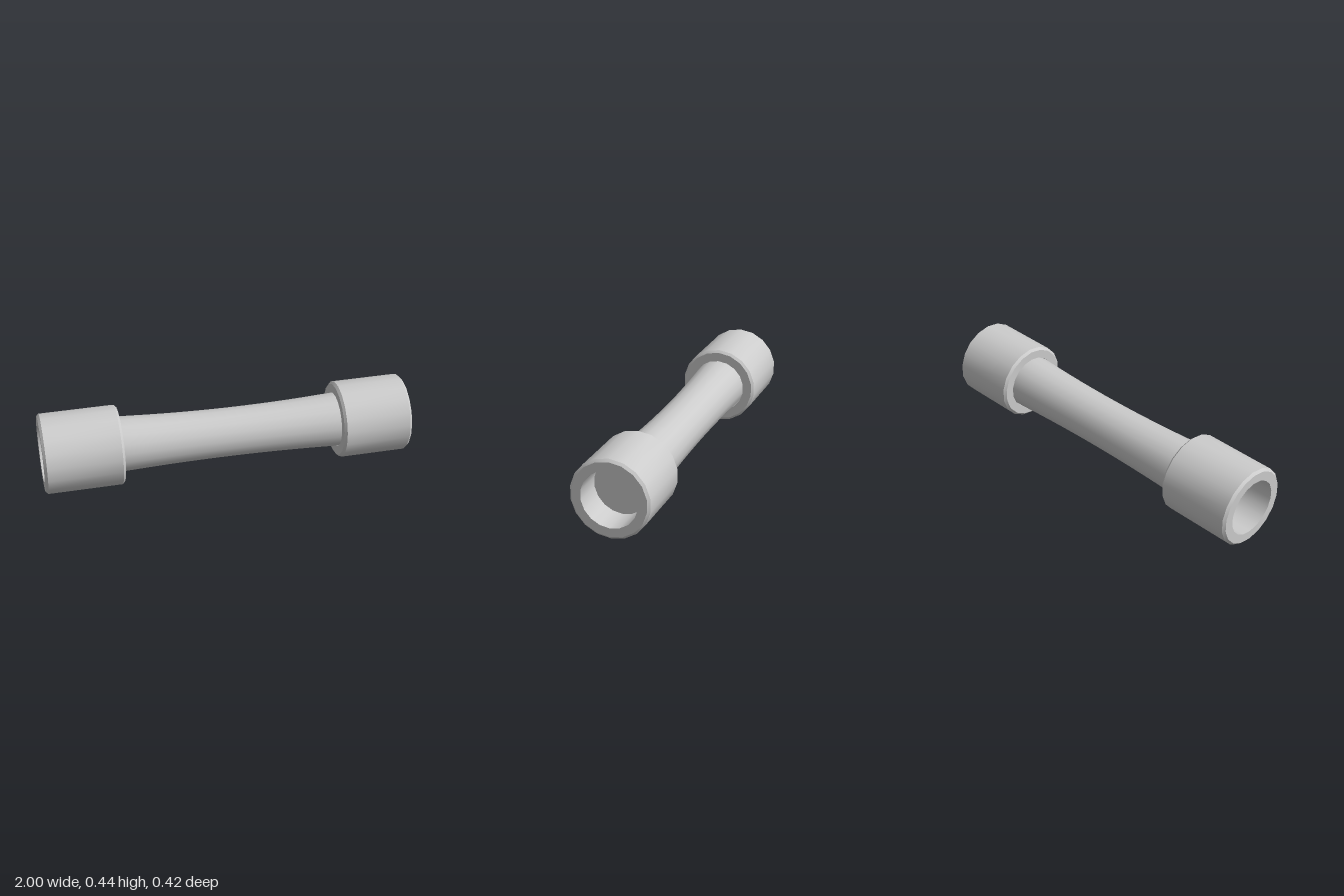
import * as THREE from 'three';
import { toCreasedNormals } from 'three/addons/utils/BufferGeometryUtils.js';

const SIDES = 18;

// Turn a [x, radius] profile around the x axis, with a corner at the top
function turned(name, profile, centreY, material) {
  const points = profile.map(([x, r]) => new THREE.Vector2(r, x));
  const geometry = new THREE.LatheGeometry(points, SIDES, Math.PI / 2);
  geometry.rotateZ(-Math.PI / 2);
  const pos = geometry.attributes.position;
  for (let i = 0; i < pos.count; i++) {
    pos.setY(i, pos.getY(i) + centreY(pos.getX(i)));
  }
  const mesh = new THREE.Mesh(toCreasedNormals(geometry, 0.5), material);
  mesh.name = name;
  return mesh;
}

// Hollow collar with chamfered outer rims
function collar(name, x0, x1, radius, bore, y, material) {
  const c = 0.013;
  return turned(name, [
    [x0, bore],
    [x0, radius - c],
    [x0 + c, radius],
    [x1 - c, radius],
    [x1, radius - c],
    [x1, bore],
    [x0, bore],
  ], () => y, material);
}

export function createModel() {
  const group = new THREE.Group();
  group.name = 'handle';
  const material = new THREE.MeshStandardMaterial({ color: 0xcccccc });
  const leftY = 0.2115, rightY = 0.2255;

  group.add(collar('leftCollar', 0.617, 1, 0.2115, 0.151, leftY, material));
  group.add(collar('rightCollar', -1, -0.577, 0.2155, 0.152, rightY, material));

  // Waisted shaft, capped inside both collars and leaning slightly down to +x
  const start = -0.78, end = 0.84, steps = 18;
  const profile = [[start, 0]];
  for (let i = 0; i <= steps; i++) {
    const x = start + (end - start) * i / steps;
    profile.push([x, Math.min(0.1495, 0.133 + 0.045 * (x - 0.03) ** 2)]);
  }
  profile.push([end, 0]);
  const axis = (x) => THREE.MathUtils.clamp(0.2175 - 0.0126 * x + 0.008 * x * x, leftY, 0.2275);
  group.add(turned('shaft', profile, axis, material));

  return group;
}
